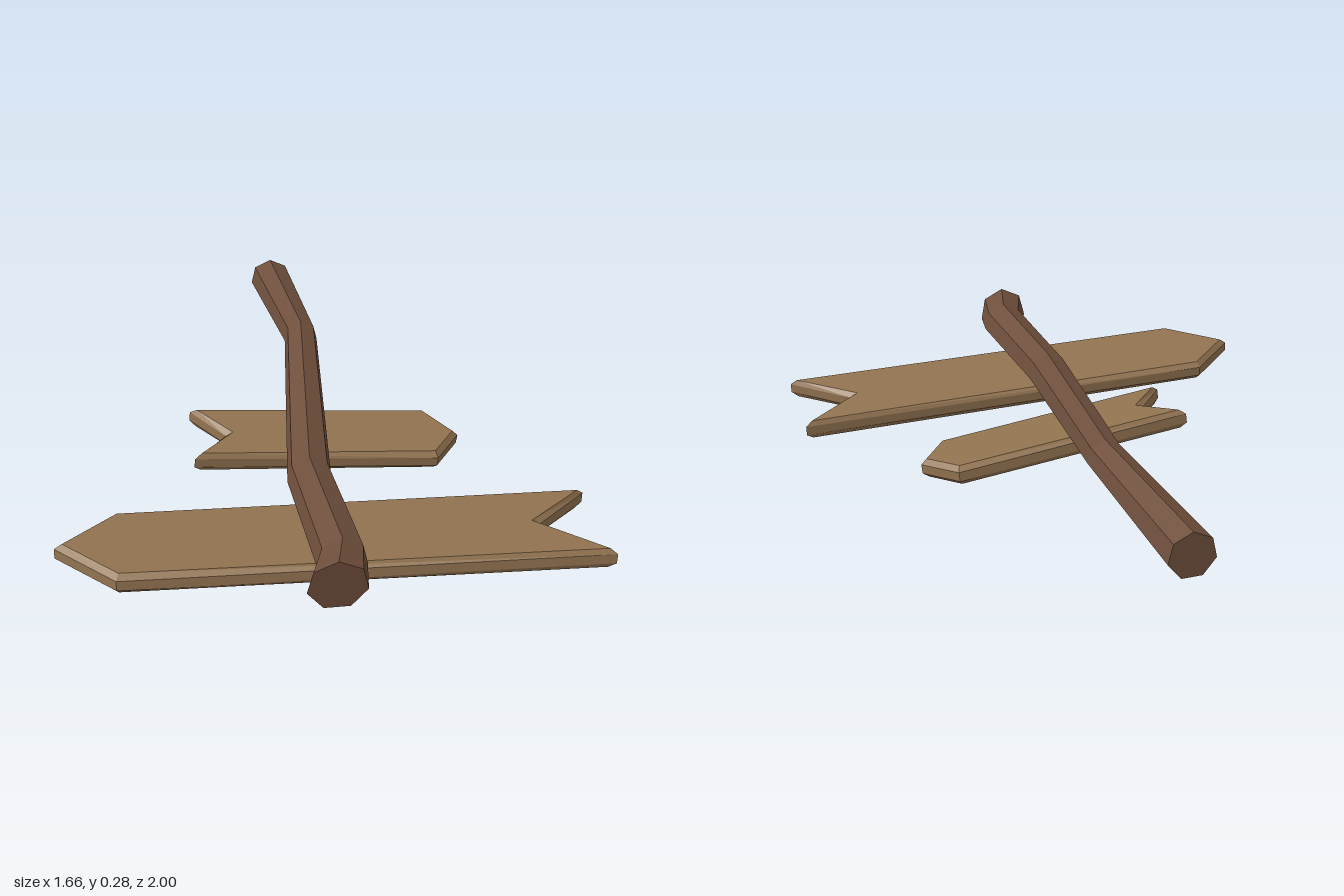
import * as THREE from 'three';

const postWood = new THREE.MeshStandardMaterial({ color: 0x6f4f3c });
postWood.name = 'dark post wood';
const boardWood = new THREE.MeshStandardMaterial({ color: 0x927350 });
boardWood.name = 'light board wood';

// Crooked seven-sided post: rings of [x, y, z, radius, lean], back to front
function makePost() {
  const sides = 7;
  const rings = [
    [-0.012, 0.190, -1.00, 0.075, 0],
    [0.035, 0.226, -0.42, 0.059, 0],
    [-0.042, 0.168, 0.40, 0.071, 0],
    [-0.011, 0.190, 0.87, 0.075, 0],
    [-0.041, 0.192, 0.99, 0.089, 0.11],
  ];
  const pos = [];
  const index = [];
  for (const [x, y, z, r, lean] of rings) {
    for (let i = 0; i < sides; i++) {
      const a = (i / sides) * Math.PI * 2;
      const up = Math.cos(a) * r;
      pos.push(x - Math.sin(a) * r, y + up, z + up * lean);
    }
  }
  for (let k = 0; k < rings.length - 1; k++) {
    for (let i = 0; i < sides; i++) {
      const a = k * sides + i;
      const b = k * sides + ((i + 1) % sides);
      index.push(a, b, b + sides, a, b + sides, a + sides);
    }
  }
  // End caps
  const last = (rings.length - 1) * sides;
  for (let i = 1; i < sides - 1; i++) {
    index.push(0, i + 1, i);
    index.push(last, last + i, last + i + 1);
  }
  const indexed = new THREE.BufferGeometry();
  indexed.setAttribute('position', new THREE.Float32BufferAttribute(pos, 3));
  indexed.setIndex(index);
  const geo = indexed.toNonIndexed();
  geo.computeVertexNormals();
  const mesh = new THREE.Mesh(geo, postWood);
  mesh.name = 'post';
  return mesh;
}

// Arrow board from a plan outline of [x, z], chamfered all round
function makeBoard(name, outline, centre, tiltX, tiltZ) {
  const thick = 0.066;
  const bevel = 0.017;
  const shape = new THREE.Shape(
    outline.map(([x, z]) => new THREE.Vector2(x - centre[0], centre[2] - z))
  );
  const geo = new THREE.ExtrudeGeometry(shape, {
    depth: thick - 2 * bevel,
    bevelThickness: bevel,
    bevelSize: bevel,
    bevelOffset: -bevel,
    bevelSegments: 1,
  });
  geo.translate(0, 0, -(thick - 2 * bevel) / 2);
  geo.rotateX(-Math.PI / 2);
  const mesh = new THREE.Mesh(geo, boardWood);
  mesh.name = name;
  mesh.position.set(...centre);
  mesh.rotation.set(tiltX, 0, tiltZ);
  return mesh;
}

export function createModel() {
  const model = new THREE.Group();
  model.name = 'fallenSignpost';
  model.add(makePost());

  // Large board points to -x
  model.add(makeBoard('largeArrowBoard', [
    [-0.83, 0.60], [-0.65, 0.787], [0.83, 0.80],
    [0.64, 0.615], [0.83, 0.445], [-0.65, 0.43],
  ], [0, 0.071, 0.61], -0.048, -0.0236));

  // Small board points to +x
  model.add(makeBoard('smallArrowBoard', [
    [0.515, 0.045], [0.42, -0.09], [-0.39, -0.065],
    [-0.28, 0.07], [-0.39, 0.20], [0.42, 0.178],
  ], [0, 0.09, 0.055], 0.075, -0.1));

  return model;
}
